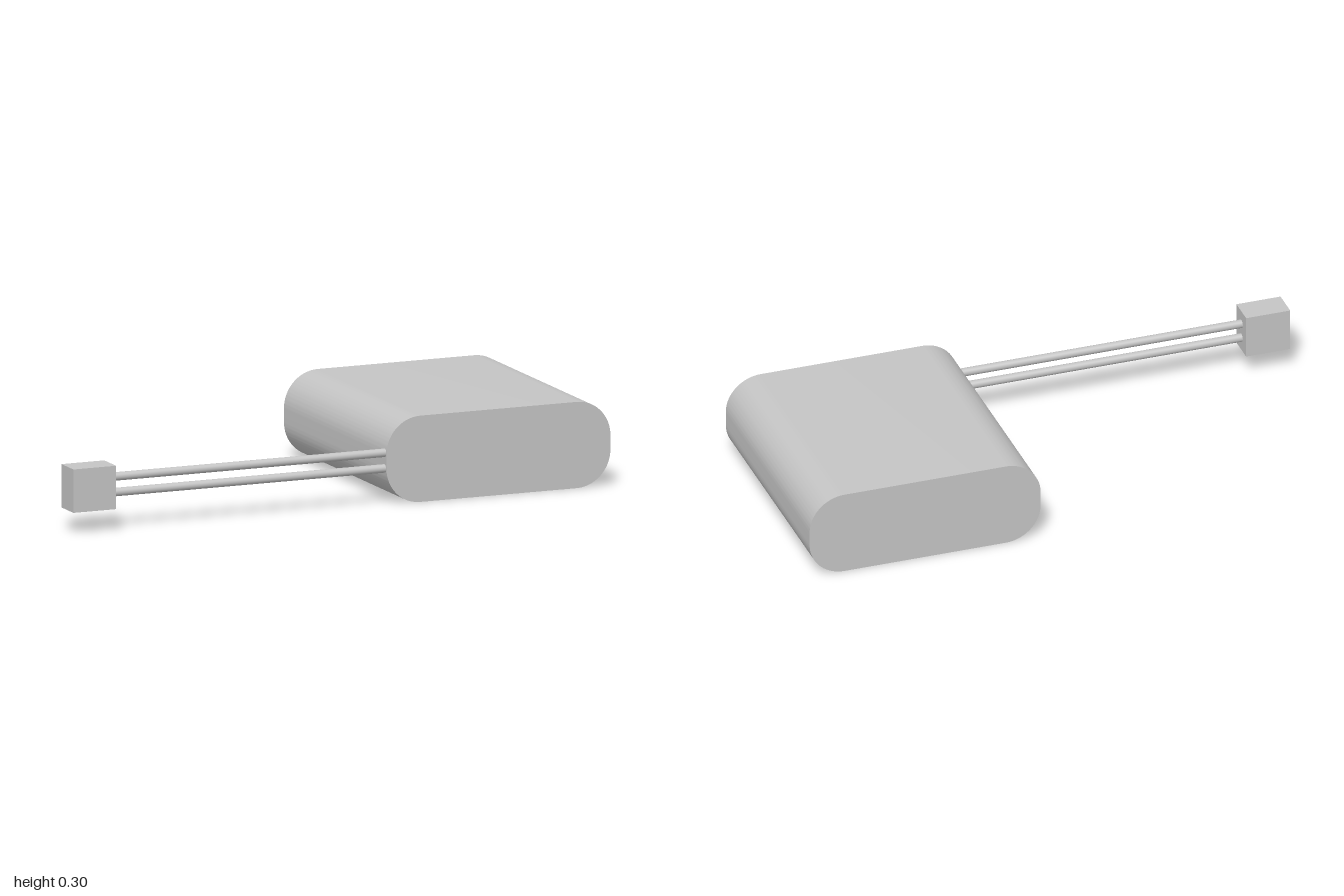
import * as THREE from 'three';
import { toCreasedNormals } from 'three/addons/utils/BufferGeometryUtils.js';

const MID_Y = 0.15;   // shared centre height
const WIRE_Z = 0.397; // wires and connector sit near the front face

// Rounded rectangle outline centred on the origin
function roundedRect(w, h, r) {
  const x = w / 2 - r, y = h / 2 - r;
  const s = new THREE.Shape();
  s.absarc(x, y, r, 0, Math.PI / 2);
  s.absarc(-x, y, r, Math.PI / 2, Math.PI);
  s.absarc(-x, -y, r, Math.PI, Math.PI * 1.5);
  s.absarc(x, -y, r, Math.PI * 1.5, Math.PI * 2);
  s.closePath();
  return s;
}

export function createModel() {
  const model = new THREE.Group();
  model.name = 'batteryPack';
  const grey = new THREE.MeshStandardMaterial({ color: 0xc4c4c4 });
  grey.name = 'lightGrey';

  const add = (name, geometry, x, y, z) => {
    const mesh = new THREE.Mesh(geometry, grey);
    mesh.name = name;
    mesh.position.set(x, y, z);
    model.add(mesh);
    return mesh;
  };

  // Pack body: rounded profile running front to back
  const body = new THREE.ExtrudeGeometry(roundedRect(0.828, 0.298, 0.125), {
    depth: 0.862, bevelEnabled: false, curveSegments: 16,
  });
  add('packBody', toCreasedNormals(body, 0.6), 0.586, 0.149, -0.448);

  // Plug at the end of the leads
  add('connector', new THREE.BoxGeometry(0.158, 0.15, 0.1), -0.921, MID_Y, WIRE_Z + 0.001);

  // Twin leads
  const lead = new THREE.CylinderGeometry(0.0145, 0.0145, 1.03, 24);
  lead.rotateZ(Math.PI / 2);
  add('upperLead', lead, -0.335, MID_Y + 0.027, WIRE_Z);
  add('lowerLead', lead, -0.335, MID_Y - 0.027, WIRE_Z);

  return model;
}
